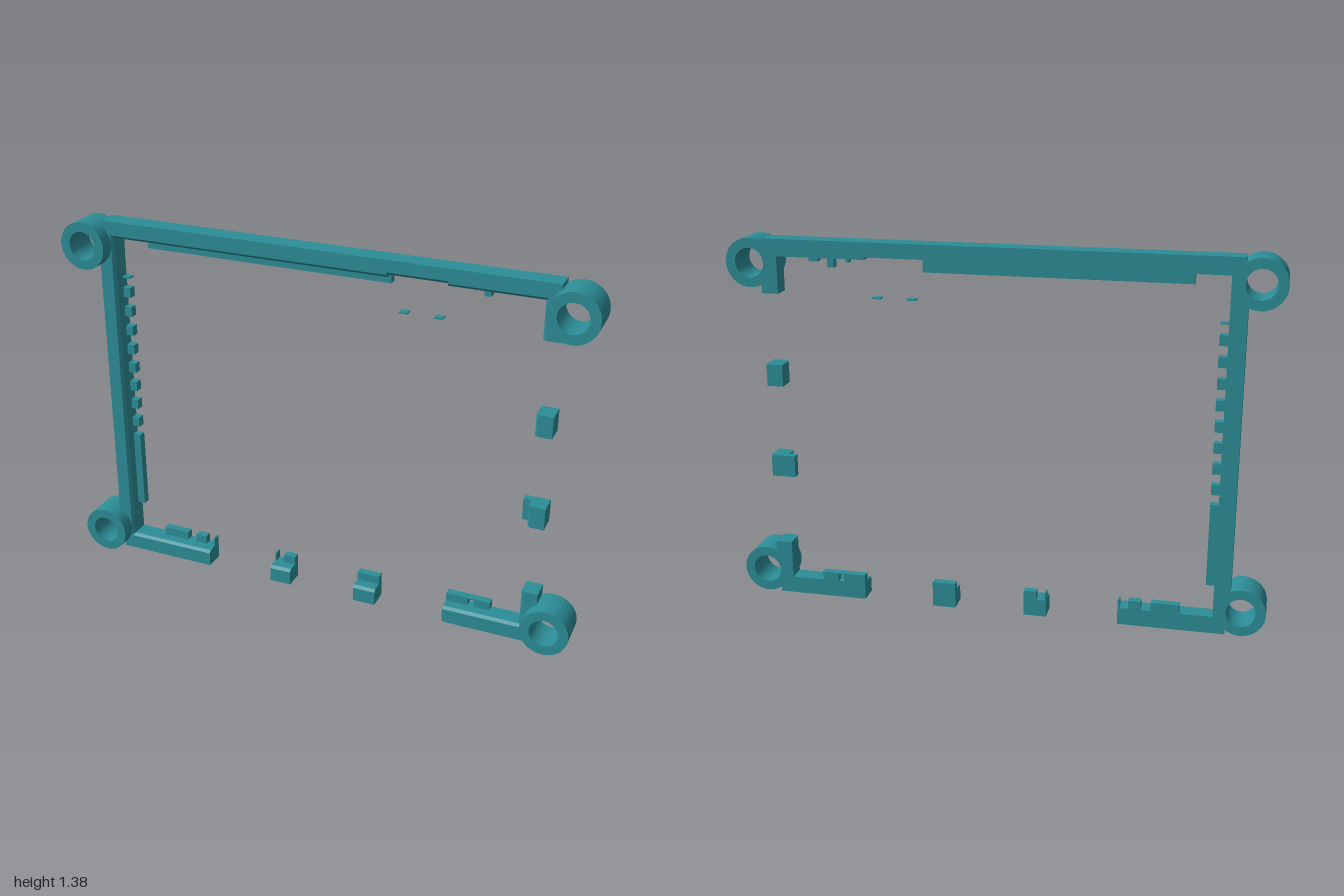
import * as THREE from 'three';

const BACK = -0.065, FRONT = 0.012, TAB = -0.035;
const CHAMFER = 0.01;

export function createModel() {
  const model = new THREE.Group();
  model.name = 'cornerMountFrame';
  const teal = new THREE.MeshStandardMaterial({ color: 0x2c8d97 });
  teal.name = 'teal';

  const add = (name, geometry) => {
    const mesh = new THREE.Mesh(geometry, teal);
    mesh.name = name;
    model.add(mesh);
    return mesh;
  };

  // Axis-aligned block given by its limits; tabs sit against the back
  const block = (name, x0, x1, y0, y1, z1 = TAB, z0 = BACK) =>
    add(name, new THREE.BoxGeometry(x1 - x0, y1 - y0, z1 - z0))
      .position.set((x0 + x1) / 2, (y0 + y1) / 2, (z0 + z1) / 2);

  // Wall strip with a chamfered inner front edge, running along (inward x z)
  const wall = (name, inward, width, length, start) => {
    const s = new THREE.Shape();
    s.moveTo(0, BACK);
    s.lineTo(width, BACK);
    s.lineTo(width, FRONT - CHAMFER);
    s.lineTo(width - CHAMFER, FRONT);
    s.lineTo(0, FRONT);
    const u = new THREE.Vector3(...inward), v = new THREE.Vector3(0, 0, 1);
    const g = new THREE.ExtrudeGeometry(s, { depth: length, bevelEnabled: false });
    g.applyMatrix4(new THREE.Matrix4().makeBasis(u, v, u.clone().cross(v)));
    g.translate(start[0], start[1], 0);
    add(name, g);
  };
  const bottomWall = (x0, x1) => wall('bottomWall', [0, 1, 0], 0.065, x1 - x0, [x0, 0]);
  const topWall = (x0, x1, w) => wall('topWall', [0, -1, 0], w, x1 - x0, [x1, 1.385]);
  const sideWall = (y0, y1, x = 0.866) => wall('sideWall', [-1, 0, 0], x - 0.805, y1 - y0, [x, y0]);

  // Corner rings
  const ring = new THREE.Shape().absarc(0, 0, 0.09, 0, Math.PI * 2, false);
  ring.holes.push(new THREE.Path().absarc(0, 0, 0.054, 0, Math.PI * 2, true));
  const ringGeometry = new THREE.ExtrudeGeometry(ring, { depth: 0.13, bevelEnabled: false, curveSegments: 20 });
  for (const x of [-0.91, 0.91]) for (const y of [0.09, 1.295])
    add('cornerRing', ringGeometry).position.set(x, y, BACK);

  // Left post, its outer skin stopping short of the ring bores
  wall('leftPost', [1, 0, 0], 0.046, 1.385, [-0.856, 1.385]);
  block('leftPostSkin', -0.87, -0.856, 0.14, 1.245, FRONT);

  // Teeth along the left post
  block('leftLongTab', -0.81, -0.78, 0.19, 0.5);
  for (let i = 0; i < 8; i++) {
    const y = 0.557 + i * 0.0773;
    block('leftTooth', -0.81, -0.78, y - 0.019, y + 0.019);
  }
  block('leftThinTooth', -0.81, -0.78, 1.154, 1.16);

  // Top wall with its long hanging panel and small tabs
  topWall(-0.856, 0.26, 0.063);
  topWall(0.26, 0.475, 0.054);
  topWall(0.475, 0.856, 0.063);
  block('topPanel', -0.69, 0.26, 1.287, 1.33);
  block('topTab', 0.532, 0.542, 1.31, 1.325);
  block('topTab', 0.588, 0.612, 1.29, 1.325);
  block('topTab', 0.648, 0.682, 1.31, 1.325);
  for (const x of [0.305, 0.433]) block('looseChip', x - 0.016, x + 0.016, 1.183, 1.188);

  // Right side: two stubs and two separate blocks
  sideWall(0, 0.21, 0.856);
  sideWall(1.185, 1.385, 0.856);
  block('rightStubSkin', 0.856, 0.866, 0.14, 0.21, FRONT);
  block('rightStubSkin', 0.856, 0.866, 1.185, 1.245, FRONT);
  sideWall(0.835, 0.917);
  sideWall(0.48, 0.563);
  block('rightTab', 0.775, 0.805, 0.48, 0.563);

  // Bottom wall sections with upright tabs
  bottomWall(-0.856, -0.463);
  bottomWall(-0.195, -0.11);
  bottomWall(0.155, 0.243);
  bottomWall(0.513, 0.856);
  const tabs = [
    [-0.69, -0.585], [-0.548, -0.502], [-0.47, -0.463],
    [-0.195, -0.189], [-0.157, -0.11], [0.155, 0.243],
    [0.513, 0.597], [0.62, 0.682],
  ];
  for (const [x0, x1] of tabs) block('bottomTab', x0, x1, 0.065, 0.098);
  block('bottomTabBridge', 0.597, 0.62, 0.092, 0.098);

  return model;
}
